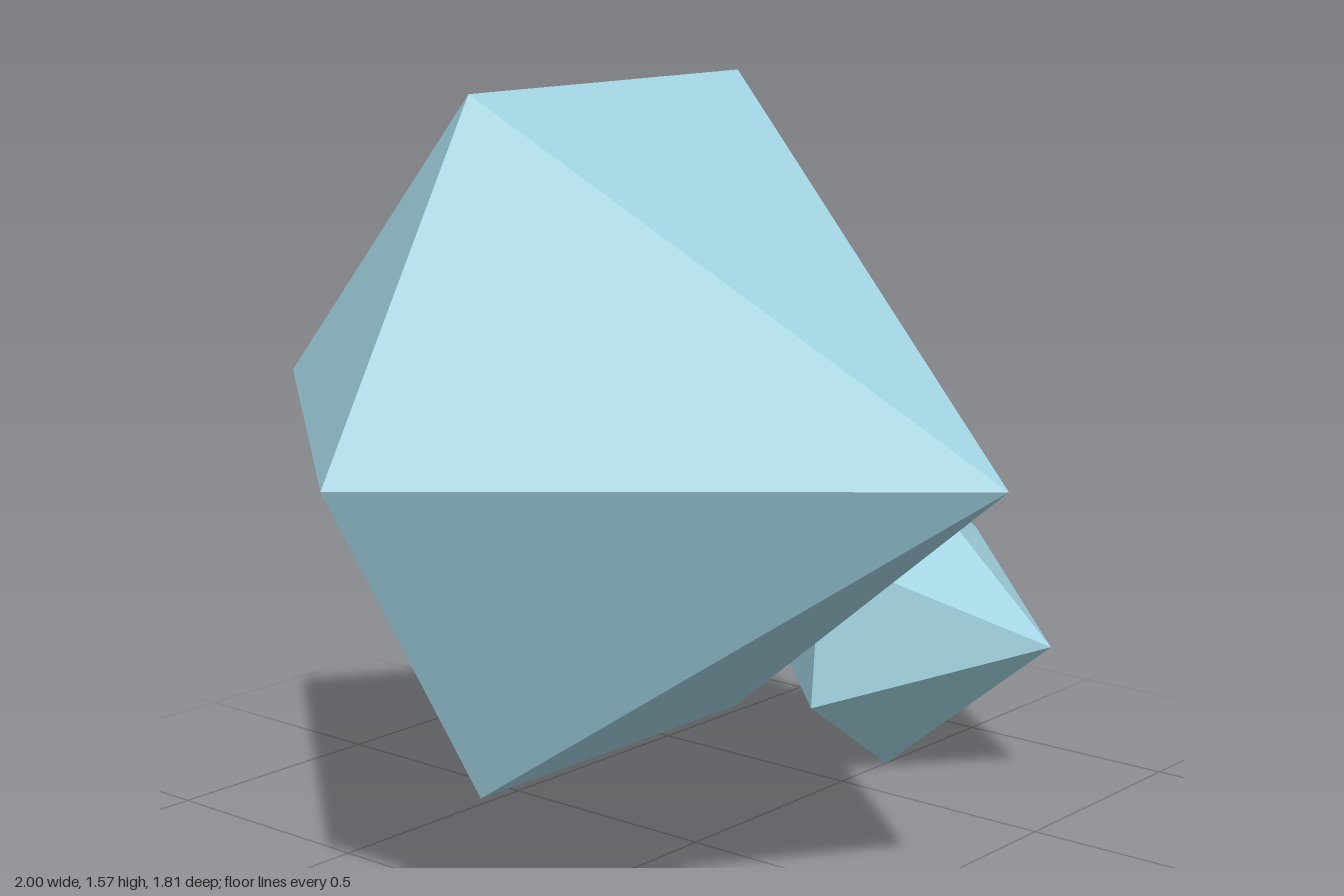
import * as THREE from 'three';

// Six-sided double pyramid with its points facing front and back
function makeCrystal(name, material, radius, halfDepth, x, y, angle) {
  const geometry = new THREE.SphereGeometry(1, 6, 2)
    .rotateX(Math.PI / 2)
    .scale(radius, radius, halfDepth)
    .rotateZ(THREE.MathUtils.degToRad(angle))
    .toNonIndexed();
  geometry.computeVertexNormals();
  const crystal = new THREE.Mesh(geometry, material);
  crystal.name = name;
  crystal.position.set(x, y, 0);
  return crystal;
}

export function createModel() {
  const model = new THREE.Group();
  model.name = 'crystals';
  const iceBlue = new THREE.MeshStandardMaterial({ color: 0xa0d2e0, flatShading: true });
  iceBlue.name = 'iceBlue';

  model.add(
    makeCrystal('largeCrystal', iceBlue, 0.753, 0.904, -0.247, 0.917, 0),
    makeCrystal('smallCrystal', iceBlue, 0.338, 0.404, 0.692, 0.34, 25)
  );
  return model;
}
